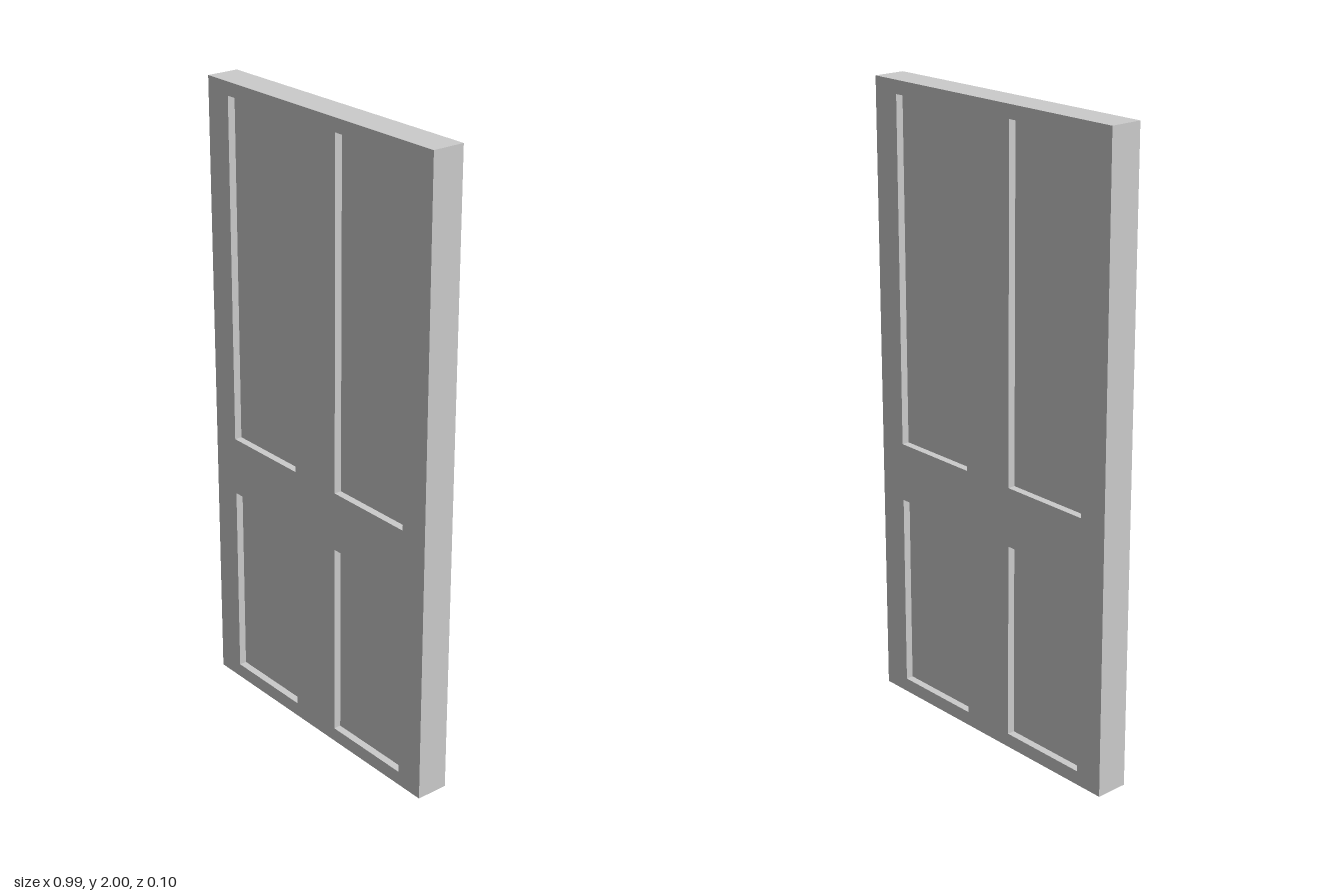
import * as THREE from 'three';

const HALF_WIDTH = 0.494, HEIGHT = 2, DEPTH = 0.104, RECESS = 0.024;

// Openings: the right-hand ones, mirrored to the other side
const COLUMN = [0.093, 0.399];
const ROWS = { lower: [0.045, 0.675], upper: [0.863, 1.958] };

function rectangle(target, x0, y0, x1, y1) {
  target.moveTo(x0, y0);
  target.lineTo(x1, y0);
  target.lineTo(x1, y1);
  target.lineTo(x0, y1);
  target.closePath();
  return target;
}

export function createModel() {
  const door = new THREE.Group();
  door.name = 'panelledDoor';
  const material = new THREE.MeshStandardMaterial({ color: 0xcccccc, flatShading: true });

  const outline = rectangle(new THREE.Shape(), -HALF_WIDTH, 0, HALF_WIDTH, HEIGHT);

  // Recessed panels, sunk equally on the front and the back
  for (const [row, [y0, y1]] of Object.entries(ROWS)) {
    for (const side of [-1, 1]) {
      const [x0, x1] = COLUMN.map((x) => x * side).sort((a, b) => a - b);
      outline.holes.push(rectangle(new THREE.Path(), x0, y0, x1, y1));
      const panel = new THREE.Mesh(
        new THREE.BoxGeometry(x1 - x0, y1 - y0, DEPTH - 2 * RECESS), material);
      panel.name = `${row}${side > 0 ? 'Left' : 'Right'}Panel`;
      panel.position.set((x0 + x1) / 2, (y0 + y1) / 2, 0);
      door.add(panel);
    }
  }

  // Stiles and rails in one piece around the openings
  const frameGeometry = new THREE.ExtrudeGeometry(outline, { depth: DEPTH, bevelEnabled: false });
  frameGeometry.translate(0, 0, -DEPTH / 2);
  const frame = new THREE.Mesh(frameGeometry, material);
  frame.name = 'doorFrame';
  door.add(frame);

  return door;
}
